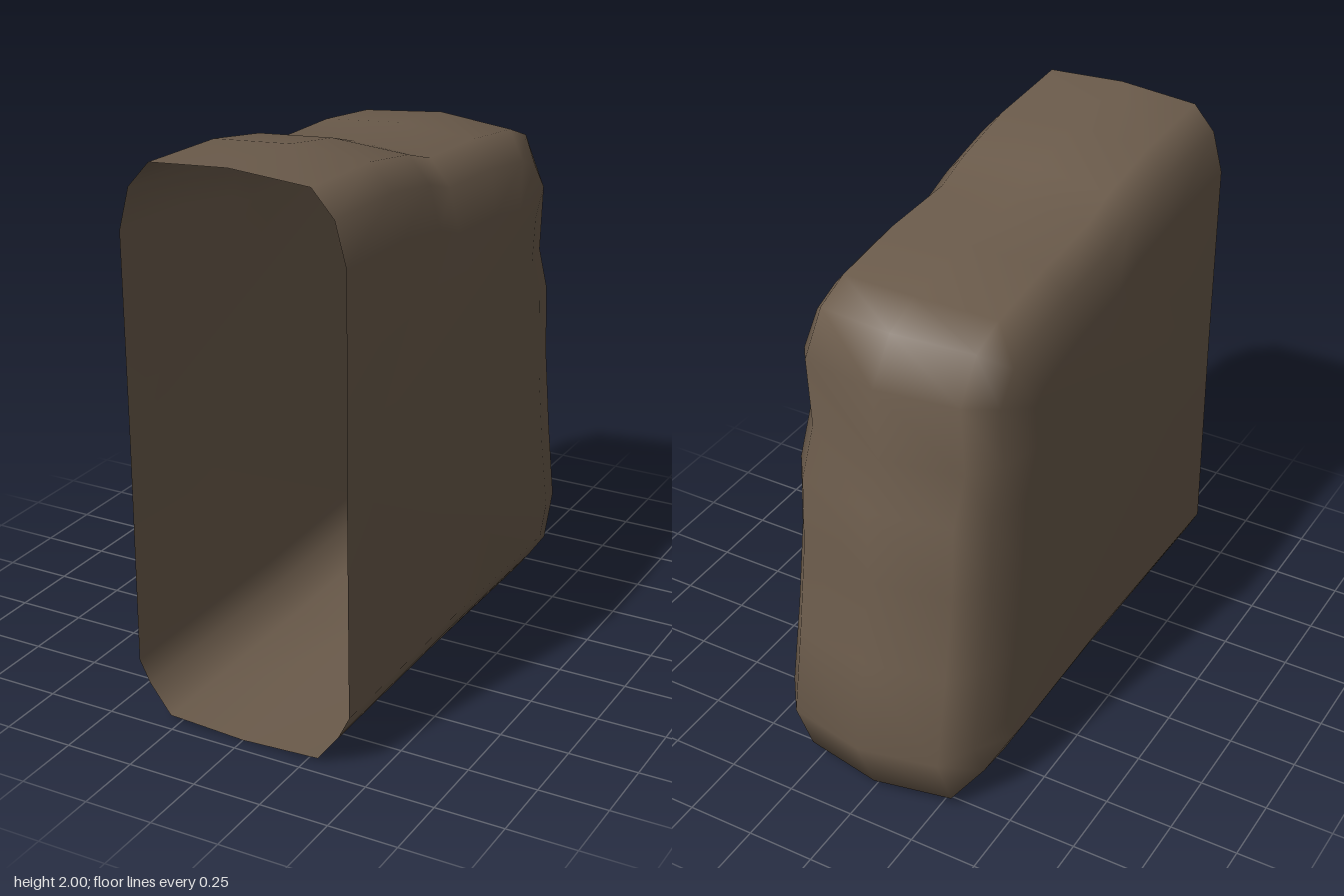
import * as THREE from 'three';

const brown = new THREE.MeshStandardMaterial({ color: 0x6b5b4b, side: THREE.DoubleSide });
brown.name = 'brown';

// Side outline from front top, over the back, to front bottom:
// z, y, then how strongly the top, back and bottom insets act on the point
const PROFILE = [
  [0.945, 2.0, 1, 0, 0], [0.57, 1.985, 1, 0, 0], [0.3, 1.94, 1, 0, 0], [0.14, 1.89, 1, 0.05, 0],
  [-0.18, 1.88, 1, 0.2, 0], [-0.5, 1.845, 1, 0.6, 0], [-0.65, 1.79, 0.87, 0.85, 0],
  [-0.76, 1.64, 0.45, 1, 0], [-0.74, 1.36, 0, 1, 0], [-0.815, 1.19, 0, 1, 0],
  [-0.83, 0.92, 0, 1, 0], [-0.88, 0.6, 0, 1, 0], [-0.94, 0.26, 0, 1, 0.3],
  [-0.845, 0.03, 0, 0.85, 0.9], [-0.65, 0.005, 0, 0.5, 1], [0.1, 0.0, 0, 0, 1], [0.945, 0.0, 0, 0, 1],
];

// Slices across the width: x, top inset, back inset, bottom inset
const HALF = [[0.29, 0.02, 0.055, 0.015], [0.37, 0.11, 0.165, 0.12], [0.41, 0.26, 0.32, 0.2]];
const SLICES = [
  ...HALF.map(([x, ...inset]) => [-x, ...inset]).reverse(),
  [0, 0, 0, 0],
  ...HALF,
];

function shellGeometry() {
  const n = PROFILE.length;
  const positions = [];
  const index = [];

  // Rounded top, back and bottom, slightly waisted along the length
  for (const [x, top, back, bottom] of SLICES) {
    for (const [z, y, wt, wb, wu] of PROFILE) {
      const waist = 1 - 0.03 * Math.exp(-(((z - 0.2) / 0.3) ** 2));
      positions.push(x * waist, y - wt * top + wu * bottom, z + wb * back);
    }
  }
  for (let k = 0; k < SLICES.length - 1; k++) {
    for (let i = 0; i < n - 1; i++) {
      const a = k * n + i;
      const b = a + n;
      index.push(a, b, a + 1, b, b + 1, a + 1);
    }
  }

  // Flat side walls, fanned out from the middle of the open front edge
  for (const side of [-1, 1]) {
    const centre = positions.length / 3;
    const start = side < 0 ? 0 : (SLICES.length - 1) * n;
    positions.push(side * 0.407, 1, 0.945);
    for (let i = start; i < start + n - 1; i++) {
      if (side > 0) index.push(centre, i + 1, i);
      else index.push(centre, i, i + 1);
    }
  }

  const geometry = new THREE.BufferGeometry();
  geometry.setAttribute('position', new THREE.Float32BufferAttribute(positions, 3));
  geometry.setIndex(index);
  geometry.computeVertexNormals();
  return geometry;
}

export function createModel() {
  const model = new THREE.Group();
  model.name = 'openShell';
  const shell = new THREE.Mesh(shellGeometry(), brown);
  shell.name = 'shell';
  model.add(shell);
  return model;
}
